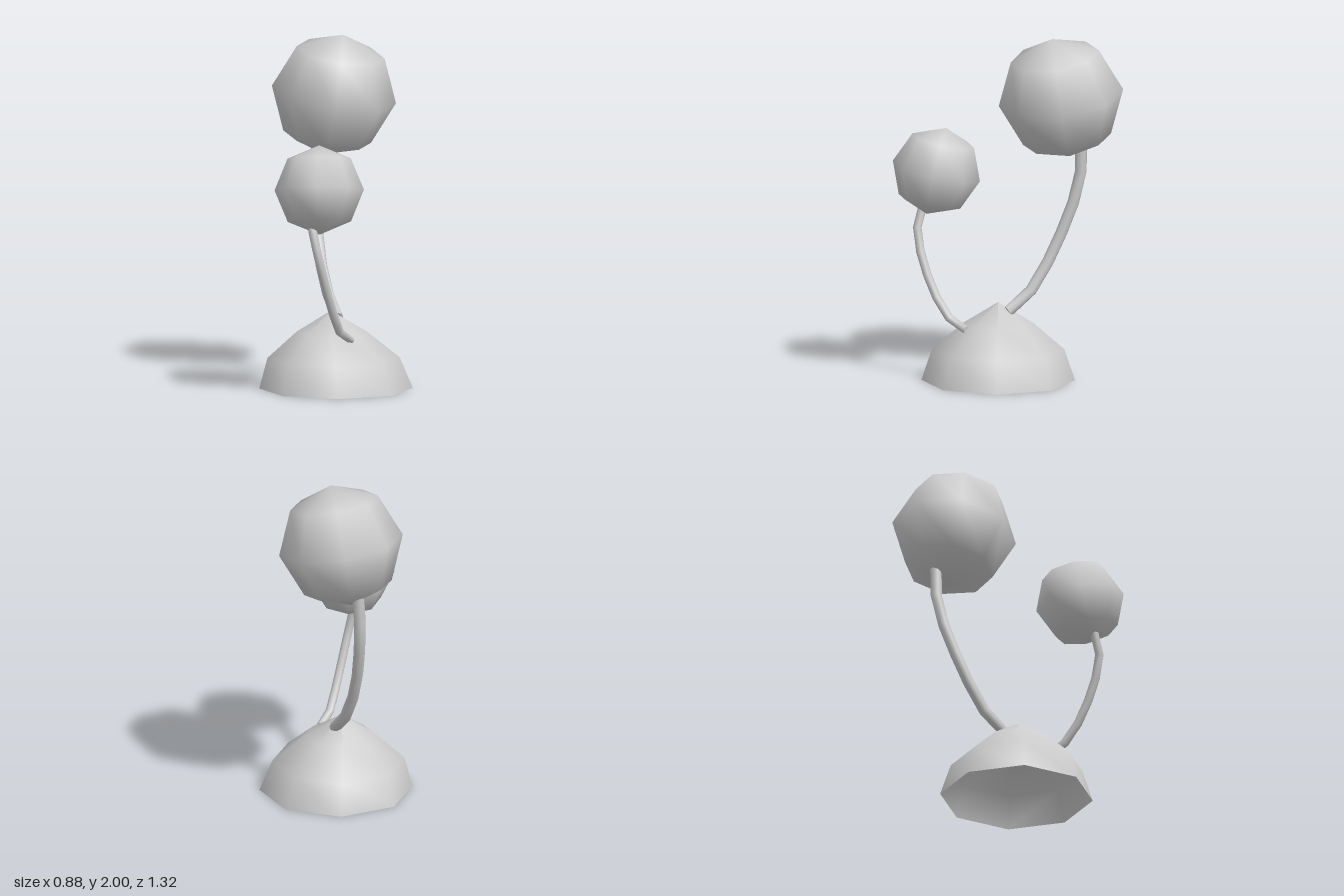
import * as THREE from 'three';

const grey = new THREE.MeshStandardMaterial({ color: 0xcccccc });
const thin = new THREE.MeshStandardMaterial({ color: 0xcccccc, side: THREE.DoubleSide });

function add(parent, name, geometry, material = grey) {
  const mesh = new THREE.Mesh(geometry, material);
  mesh.name = name;
  parent.add(mesh);
  return mesh;
}

// Eight-sided low-poly ball with smooth normals, slightly tilted
function addBall(parent, name, radius, position, rotation) {
  const ball = add(parent, name, new THREE.SphereGeometry(radius, 8, 4));
  ball.position.set(...position);
  ball.rotation.set(...rotation);
}

// Bent stem with closed ends
function addStem(parent, name, radius, points) {
  const stem = new THREE.Group();
  stem.name = name;
  parent.add(stem);
  const curve = new THREE.CatmullRomCurve3(points.map((p) => new THREE.Vector3(...p)));
  add(stem, name + 'Tube', new THREE.TubeGeometry(curve, 6, radius, 8), thin);
  for (const t of [0, 1]) {
    const cap = add(stem, name + 'Cap', new THREE.CircleGeometry(radius, 8), thin);
    const end = curve.getPointAt(t);
    cap.position.copy(end);
    cap.lookAt(end.clone().addScaledVector(curve.getTangentAt(t), t ? 1 : -1));
  }
}

export function createModel() {
  const model = new THREE.Group();
  model.name = 'twoStemmedPlant';

  // Open, hollow mound that leans a little to one side towards its peak
  const profile = [[0.44, 0], [0.38, 0.177], [0.2, 0.33], [0, 0.45]];
  const mound = new THREE.LatheGeometry(profile.map(([r, y]) => new THREE.Vector2(r, y)), 8);
  const pos = mound.attributes.position;
  for (let i = 0; i < pos.count; i++) {
    pos.setX(i, pos.getX(i) - 0.03 * Math.min(1, pos.getY(i) / 0.4));
  }
  add(model, 'mound', mound, thin).position.z = 0.055;

  // Tall stem bending backwards, with the large ball
  addStem(model, 'tallStem', 0.034, [
    [0.01, 0.4, 0.0], [-0.01, 0.43, -0.06], [-0.05, 0.55, -0.155],
    [-0.09, 0.76, -0.27], [-0.105, 1.145, -0.41], [-0.095, 1.39, -0.42],
  ]);
  addBall(model, 'largeBall', 0.36, [-0.003, 1.65, -0.305], [0.14, 0, -0.15]);

  // Short stem bending forwards, with the small ball
  addStem(model, 'shortStem', 0.025, [
    [0.08, 0.305, 0.235], [0.045, 0.31, 0.28], [0.0, 0.405, 0.365],
    [-0.05, 0.57, 0.45], [-0.12, 0.855, 0.52], [-0.15, 1.0, 0.485],
  ]);
  addBall(model, 'smallBall', 0.257, [-0.105, 1.2, 0.41], [-0.22, -0.09, 0]);

  return model;
}
